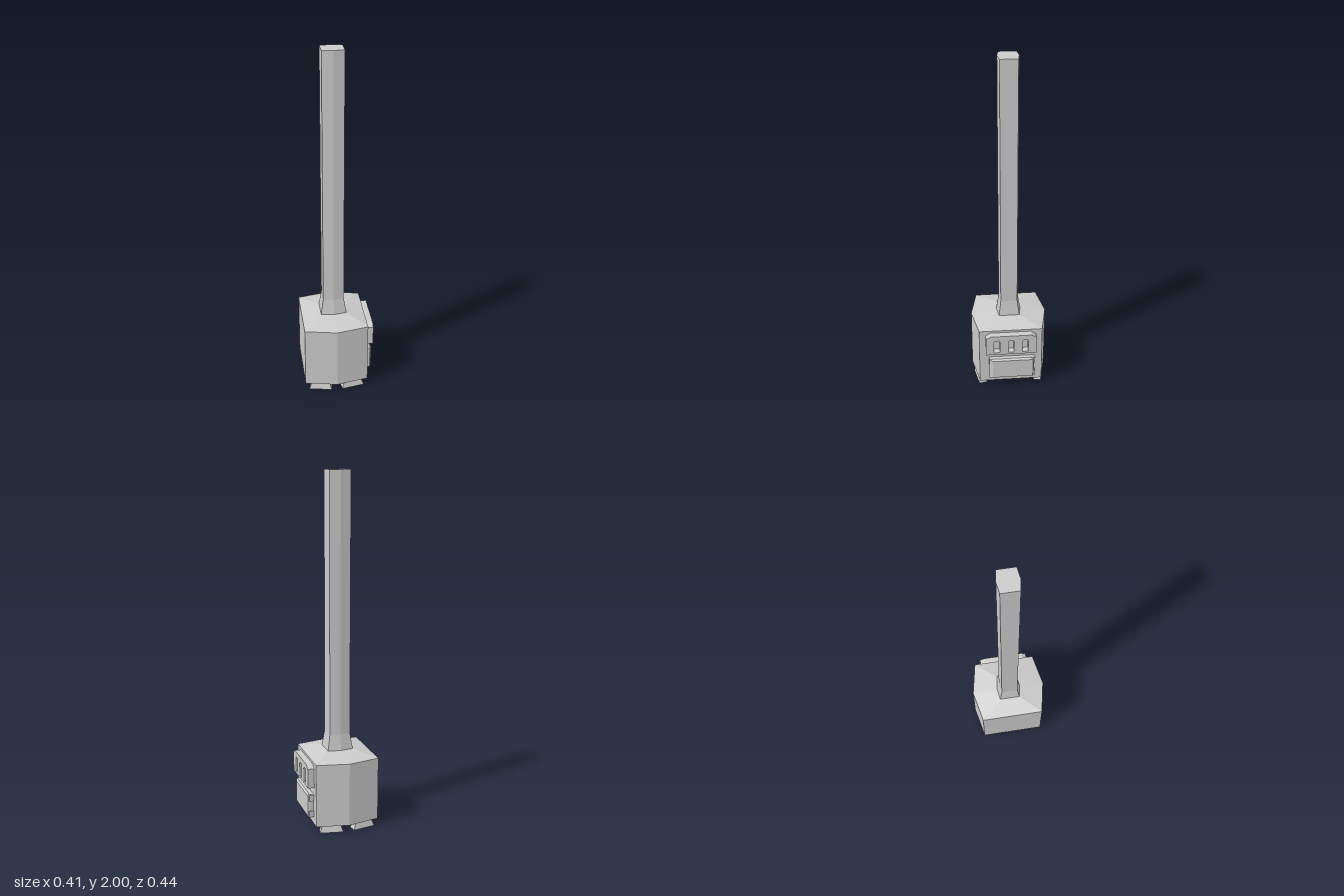
import * as THREE from 'three';

const material = new THREE.MeshStandardMaterial({ color: 0xcccccc, flatShading: true });

// Closed solid through matching rings of [x, y, z], counter-clockwise about the lofting axis
function loft(rings) {
  const pos = [];
  const tri = (a, b, c) => pos.push(...a, ...b, ...c);
  const n = rings[0].length;
  for (let r = 0; r < rings.length - 1; r++) {
    const A = rings[r], B = rings[r + 1];
    for (let i = 0; i < n; i++) {
      const j = (i + 1) % n;
      tri(A[i], A[j], B[j]);
      tri(A[i], B[j], B[i]);
    }
  }
  const first = rings[0], last = rings[rings.length - 1];
  for (let i = 1; i < n - 1; i++) {
    tri(first[0], first[i + 1], first[i]);
    tri(last[0], last[i], last[i + 1]);
  }
  const g = new THREE.BufferGeometry();
  g.setAttribute('position', new THREE.Float32BufferAttribute(pos, 3));
  g.computeVertexNormals();
  return g;
}

// Six-sided ring: half width a, corner depth c, mid depth m
const hexRing = (y, a, c, m) =>
  [[0, y, m], [a, y, c], [a, y, -c], [0, y, -m], [-a, y, -c], [-a, y, c]];
// Horizontal rectangle, and upright rectangle facing +x
const flatRing = (y, a, b) => [[-a, y, b], [a, y, b], [a, y, -b], [-a, y, -b]];
const sideRing = (x, y0, y1, z0, z1) => [[x, y0, z0], [x, y1, z0], [x, y1, z1], [x, y0, z1]];

// Rectangle with its two upper corners cut off
function cutRect(path, x0, x1, y0, y1, cx, cy) {
  path.moveTo(x0, y0);
  path.lineTo(x1, y0);
  path.lineTo(x1, y1 - cy);
  path.lineTo(x1 - cx, y1);
  path.lineTo(x0 + cx, y1);
  path.lineTo(x0, y1 - cy);
  path.closePath();
  return path;
}

export function createModel() {
  const group = new THREE.Group();
  const add = (name, geometry, x = 0, y = 0, z = 0) => {
    const mesh = new THREE.Mesh(geometry, material);
    mesh.name = name;
    mesh.position.set(x, y, z);
    group.add(mesh);
    return mesh;
  };
  const cx = -0.019, wall = 0.165;

  // Firebox with sloping roof
  add('firebox', loft([
    hexRing(0.04, 0.184, 0.184, 0.221),
    hexRing(0.408, 0.184, 0.184, 0.221),
    hexRing(0.435, 0.074, 0.06, 0.071),
  ]), cx, 0, -0.001);

  // Flared collar and chimney pipe
  add('chimney', loft([
    hexRing(0.435, 0.074, 0.06, 0.071),
    hexRing(0.528, 0.06, 0.048, 0.057),
    hexRing(2, 0.06, 0.048, 0.057),
  ]), cx, 0, -0.001);

  // Vent plate with three slots
  const plate = cutRect(new THREE.Shape(), -0.147, 0.147, 0.262, 0.394, 0.028, 0.018);
  for (const s of [-0.083, 0, 0.083]) {
    plate.holes.push(cutRect(new THREE.Path(), s - 0.017, s + 0.017, 0.277, 0.362, 0.006, 0.007));
  }
  const plateGeometry = new THREE.ExtrudeGeometry(plate, { depth: 0.037, bevelEnabled: false });
  plateGeometry.rotateY(Math.PI / 2);
  add('ventPlate', plateGeometry, wall, 0, -0.001);

  // Fire door with bevelled rim
  add('door', loft([
    sideRing(wall - 0.005, 0.08, 0.218, -0.135, 0.127),
    sideRing(0.188, 0.08, 0.218, -0.135, 0.127),
    sideRing(0.198, 0.086, 0.208, -0.13, 0.107),
  ]));

  // Door hinges
  for (const y of [0.102, 0.198]) {
    add('hinge', new THREE.BoxGeometry(0.03, 0.036, 0.024), wall + 0.012, y, -0.131);
  }

  // Four splayed feet under the slanted front and back walls
  const foot = loft([flatRing(0, 0.066, 0.024), flatRing(0.042, 0.052, 0.014)]);
  for (const sx of [-1, 1]) {
    for (const sz of [-1, 1]) {
      const mesh = add('foot', foot, cx + sx * 0.093, 0, sz * 0.176);
      mesh.rotation.y = sx * sz * 0.193;
    }
  }
  return group;
}
